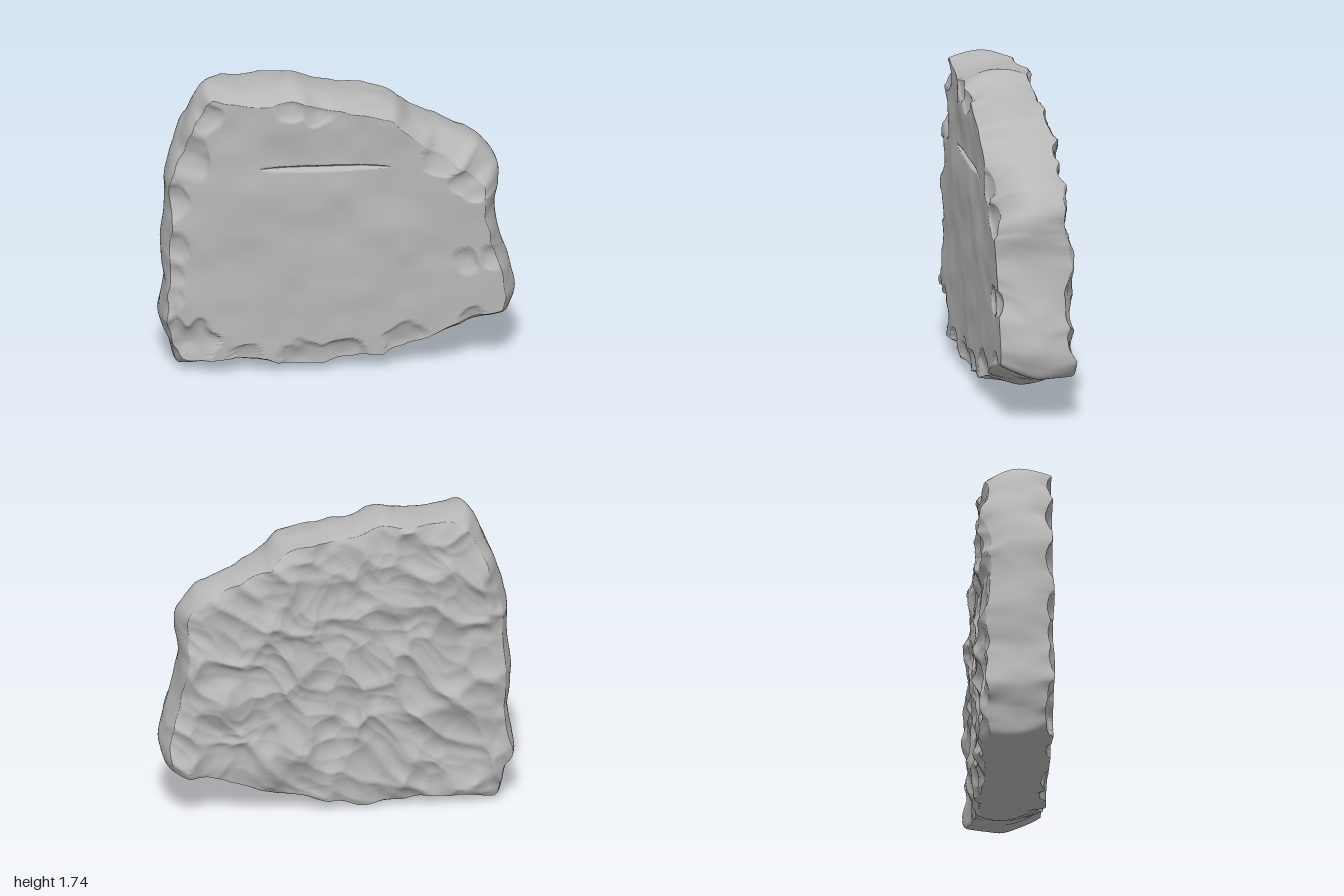
import * as THREE from 'three';

// Outline pairs, counterclockwise: widest x, y, then front edge x, y
const OUTLINE = [
  [-0.90, 0.015, -0.87, 0.10], [-0.70, 0.035, -0.70, 0.105], [-0.45, 0.035, -0.45, 0.10],
  [-0.22, 0.005, -0.22, 0.06], [0.0, 0.03, 0.0, 0.08], [0.20, 0.075, 0.18, 0.11],
  [0.38, 0.095, 0.36, 0.14], [0.58, 0.175, 0.54, 0.24], [0.76, 0.225, 0.72, 0.32],
  [0.95, 0.28, 0.90, 0.36], [0.995, 0.42, 0.92, 0.45], [0.97, 0.57, 0.91, 0.60],
  [0.92, 0.74, 0.86, 0.78], [0.885, 0.95, 0.81, 0.94], [0.90, 1.08, 0.82, 1.05],
  [0.89, 1.20, 0.80, 1.14], [0.79, 1.34, 0.70, 1.24], [0.60, 1.43, 0.54, 1.35],
  [0.42, 1.51, 0.38, 1.47], [0.32, 1.60, 0.29, 1.56], [0.10, 1.65, 0.09, 1.605],
  [-0.13, 1.705, -0.12, 1.64], [-0.25, 1.75, -0.25, 1.68], [-0.36, 1.725, -0.36, 1.665],
  [-0.55, 1.725, -0.55, 1.675], [-0.73, 1.735, -0.70, 1.70], [-0.81, 1.63, -0.77, 1.60],
  [-0.90, 1.43, -0.86, 1.41], [-0.97, 1.20, -0.94, 1.18], [-0.965, 1.0, -0.93, 1.0],
  [-0.99, 0.80, -0.95, 0.80], [-0.975, 0.55, -0.95, 0.55], [-1.0, 0.30, -0.965, 0.32],
  [-0.95, 0.17, -0.92, 0.20],
];

// Chips broken from the front edge: x, y, radius
const CHIPS = [
  [-0.82, 1.36, 0.12], [-0.92, 1.10, 0.11], [-0.95, 0.80, 0.10], [-0.96, 0.64, 0.09],
  [-0.97, 0.48, 0.09], [-0.84, 0.20, 0.16], [-0.52, 0.11, 0.09], [-0.20, 0.09, 0.12],
  [0.03, 0.11, 0.13], [0.36, 0.18, 0.12], [0.74, 0.31, 0.09], [0.72, 0.68, 0.07],
  [0.86, 0.70, 0.08], [0.60, 1.34, 0.13], [0.75, 1.17, 0.12], [-0.27, 1.66, 0.09],
  [-0.12, 1.62, 0.09], [-0.74, 1.60, 0.09],
];

const CX = 0, CY = 0.85;
const SLOT = { x: -0.08, y: 1.275, half: 0.36 };
const lerp = THREE.MathUtils.lerp;
const smooth = THREE.MathUtils.smoothstep;

function hash(x, y, z) {
  const s = Math.sin(x * 127.1 + y * 311.7 + z * 74.7) * 43758.5453;
  return s - Math.floor(s);
}

// Smooth value noise from -1 to 1
function noise(x, y, z) {
  const ix = Math.floor(x), iy = Math.floor(y), iz = Math.floor(z);
  const u = smooth(x - ix, 0, 1), v = smooth(y - iy, 0, 1), w = smooth(z - iz, 0, 1);
  const row = (b, c) => lerp(hash(ix, iy + b, iz + c), hash(ix + 1, iy + b, iz + c), u);
  return 2 * lerp(lerp(row(0, 0), row(1, 0), v), lerp(row(0, 1), row(1, 1), v), w) - 1;
}

// Squared distance to the nearest scattered point: round scoops with sharp ridges
function scoops(x, y) {
  const ix = Math.floor(x), iy = Math.floor(y);
  let best = 9;
  for (let i = ix - 1; i <= ix + 1; i++) {
    for (let j = iy - 1; j <= iy + 1; j++) {
      const dx = i + hash(i, j, 3) - x, dy = j + hash(i, j, 8) - y;
      best = Math.min(best, dx * dx + dy * dy);
    }
  }
  return Math.min(best, 0.75);
}

// Gather vertices towards the slot so that its walls stay clean
function gatherAtSlot(x, y) {
  const reach = 0.11, d = y - SLOT.y;
  if (Math.abs(d) > reach) return y;
  const near = 1 - smooth(Math.abs(x - SLOT.x) / SLOT.half, 0.95, 1.3);
  return SLOT.y + Math.sign(d) * reach * (Math.abs(d) / reach) ** (1 + 0.8 * near);
}

// Gently wavy front with chipped edges and a cut slot
function frontZ(x, y) {
  let z = 0.206 + 0.018 * x + 0.011 * noise(x * 3.5, y * 4.5, 1) + 0.004 * noise(x * 8, y * 8, 5);
  const wobble = 1 + 0.3 * noise(x * 13, y * 13, 9);
  let chip = 0;
  for (const [cx, cy, r] of CHIPS) {
    const d = Math.hypot(x - cx, y - cy) / (r * wobble);
    if (d < 1) chip = Math.max(chip, 0.38 * r * Math.sqrt(1 - d));
  }
  z -= chip;
  const t = (x - SLOT.x) / SLOT.half;
  if (Math.abs(t) < 1) {
    const half = 0.016 * Math.sqrt(1 - t * t);
    const d = Math.abs(y - SLOT.y) / half;
    if (d < 1) z -= 0.03 * Math.sqrt(1 - t * t) * (1 - d * d);
  }
  return z;
}

// Rough split back, its scoops stretched along a diagonal, softened towards the rim
function backZ(x, y, s) {
  const wx = x + 0.07 * noise(x * 5, y * 5, 20), wy = y + 0.07 * noise(x * 5, y * 5, 30);
  const along = wx * 0.77 + wy * 0.64, across = wy * 0.77 - wx * 0.64;
  const big = scoops(along * 4, across * 6.4);
  const small = scoops(along * 8 + 40, across * 11);
  return -0.182 - 0.07 * big - 0.02 * small + 0.012 * noise(x * 3, y * 3, 40) + 0.025 * s ** 14;
}

function createSlabGeometry() {
  const SIDES = 340, FACE = 84, EDGE = 24;
  const curve = (k) => new THREE.CatmullRomCurve3(
    OUTLINE.map((p) => new THREE.Vector3(p[k], p[k + 1], 0)), true, 'catmullrom', 0.35);
  const wide = curve(0), front = curve(2);
  const scaled = (p, k) => new THREE.Vector3(CX + (p.x - CX) * k, CY + (p.y - CY) * k, 0);
  const rims = [];
  for (let j = 0; j < SIDES; j++) {
    const m = wide.getPoint(j / SIDES);
    // Nicked front edge; the back edge draws in more at the right side than below
    const f = scaled(front.getPoint(j / SIDES), 1 + 0.014 * noise(m.x * 12, m.y * 12, 50));
    const low = 1 - smooth(m.y, 0.25, 0.5);
    const inset = lerp(0.04 + 0.02 * smooth(-m.x, 0.6, 0.9), 0.03, low);
    const b = scaled(m, 1 - inset + 0.02 * noise(m.x * 8, m.y * 8, 60));
    rims.push({ m, f, b, peak: lerp(0.5, 0.64, low) });
  }

  const positions = [];
  const faceSteps = Array.from({ length: FACE + 1 }, (_, i) => 1 - (1 - i / FACE) ** 1.2);
  // Front face from the middle outwards
  for (const s of faceSteps) {
    for (const { f } of rims) {
      const x = lerp(CX, f.x, s), y = gatherAtSlot(x, lerp(CY, f.y, s));
      positions.push(x, y, frontZ(x, y));
    }
  }
  // Worn rim from the front edge to the back edge
  for (let i = 1; i < EDGE; i++) {
    const u = 0.5 - 0.5 * Math.cos(Math.PI * i / EDGE);
    for (const { m, f, b, peak } of rims) {
      const k = u < peak
        ? Math.sin(u / peak * Math.PI / 2) ** 0.9
        : 1 - ((u - peak) / (1 - peak)) ** 2;
      const end = u < peak ? f : b;
      const z = lerp(frontZ(f.x, f.y), backZ(b.x, b.y, 1), u);
      const bump = 1 + Math.sin(u * Math.PI)
        * (0.008 * noise(m.x * 6, m.y * 6, z * 7) + 0.005 * noise(m.x * 13, m.y * 13, z * 11) - 0.003);
      positions.push(
        CX + (lerp(end.x, m.x, k) - CX) * bump, CY + (lerp(end.y, m.y, k) - CY) * bump, z);
    }
  }
  // Back face from the edge to the middle
  for (const s of faceSteps.reverse()) {
    for (const { b } of rims) {
      const x = lerp(CX, b.x, s), y = lerp(CY, b.y, s);
      positions.push(x, y, backZ(x, y, s));
    }
  }

  const indices = [];
  const rings = positions.length / 3 / SIDES;
  for (let i = 0; i < rings - 1; i++) {
    for (let j = 0; j < SIDES; j++) {
      const n = (j + 1) % SIDES;
      const a = i * SIDES + j, b = i * SIDES + n, c = a + SIDES, d = b + SIDES;
      if (i > 0) indices.push(a, c, b);
      if (i < rings - 2) indices.push(b, c, d);
    }
  }
  const geometry = new THREE.BufferGeometry();
  geometry.setAttribute('position', new THREE.Float32BufferAttribute(positions, 3));
  geometry.setIndex(indices);
  geometry.computeVertexNormals();
  return geometry;
}

export function createModel() {
  const stone = new THREE.MeshStandardMaterial({ color: 0xb8b8b8 });
  stone.name = 'grey stone';
  const slab = new THREE.Mesh(createSlabGeometry(), stone);
  slab.name = 'stoneSlab';
  const model = new THREE.Group();
  model.name = 'brokenStoneSlab';
  model.add(slab);
  return model;
}
